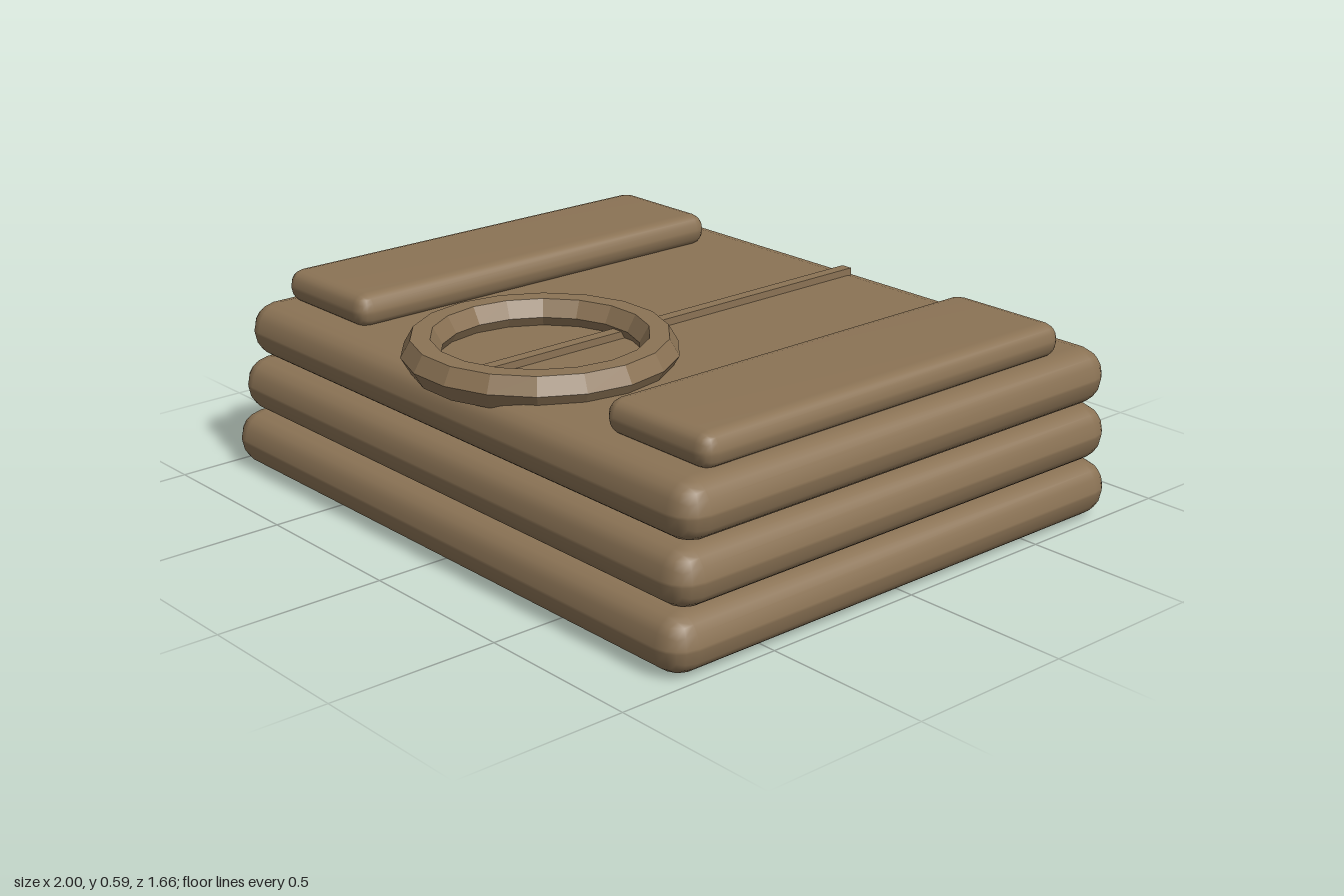
import * as THREE from 'three';
import { RoundedBoxGeometry } from 'three/addons/geometries/RoundedBoxGeometry.js';
import { mergeVertices } from 'three/addons/utils/BufferGeometryUtils.js';

export function createModel() {
  const model = new THREE.Group();
  model.name = 'foldedStack';
  const brown = new THREE.MeshStandardMaterial({ color: 0x8b7355 });
  brown.name = 'brown';

  function add(name, geometry, x, y, z) {
    const mesh = new THREE.Mesh(geometry, brown);
    mesh.name = name;
    mesh.position.set(x, y, z);
    model.add(mesh);
    return mesh;
  }

  // Soft block whose normals blend over the bevels
  function softBlock(w, h, d, radius) {
    const box = new RoundedBoxGeometry(w, h, d, 2, radius);
    box.deleteAttribute('normal');
    box.deleteAttribute('uv');
    const soft = mergeVertices(box, 1e-4);
    soft.computeVertexNormals();
    return soft;
  }

  // Three folded layers, each a little smaller and set further back
  const layerHeight = 0.166;
  for (let i = 0; i < 3; i++) {
    const front = 0.832 - i * 0.027;
    const back = -0.832 + i * 0.005;
    add(`layer${i + 1}`, softBlock(2 - i * 0.02, layerHeight, front - back, 0.079),
      0, layerHeight * (i + 0.5) + 0.001, (front + back) / 2);
  }

  // Side pads
  for (const side of [-1, 1]) {
    add(side > 0 ? 'leftPad' : 'rightPad', softBlock(0.39, 0.1, 1.33, 0.045), side * 0.725, 0.54, 0);
  }

  // Collar ring with a six-sided section
  const ring = new THREE.TorusGeometry(0.33, 0.055, 6, 18).toNonIndexed();
  ring.rotateX(-Math.PI / 2);
  ring.computeVertexNormals();
  add('collarRing', ring, 0, 0.527, 0.438);

  // Centre seam
  add('centreSeam', new THREE.BoxGeometry(0.036, 0.025, 1.49), 0, 0.508, -0.01);

  return model;
}
